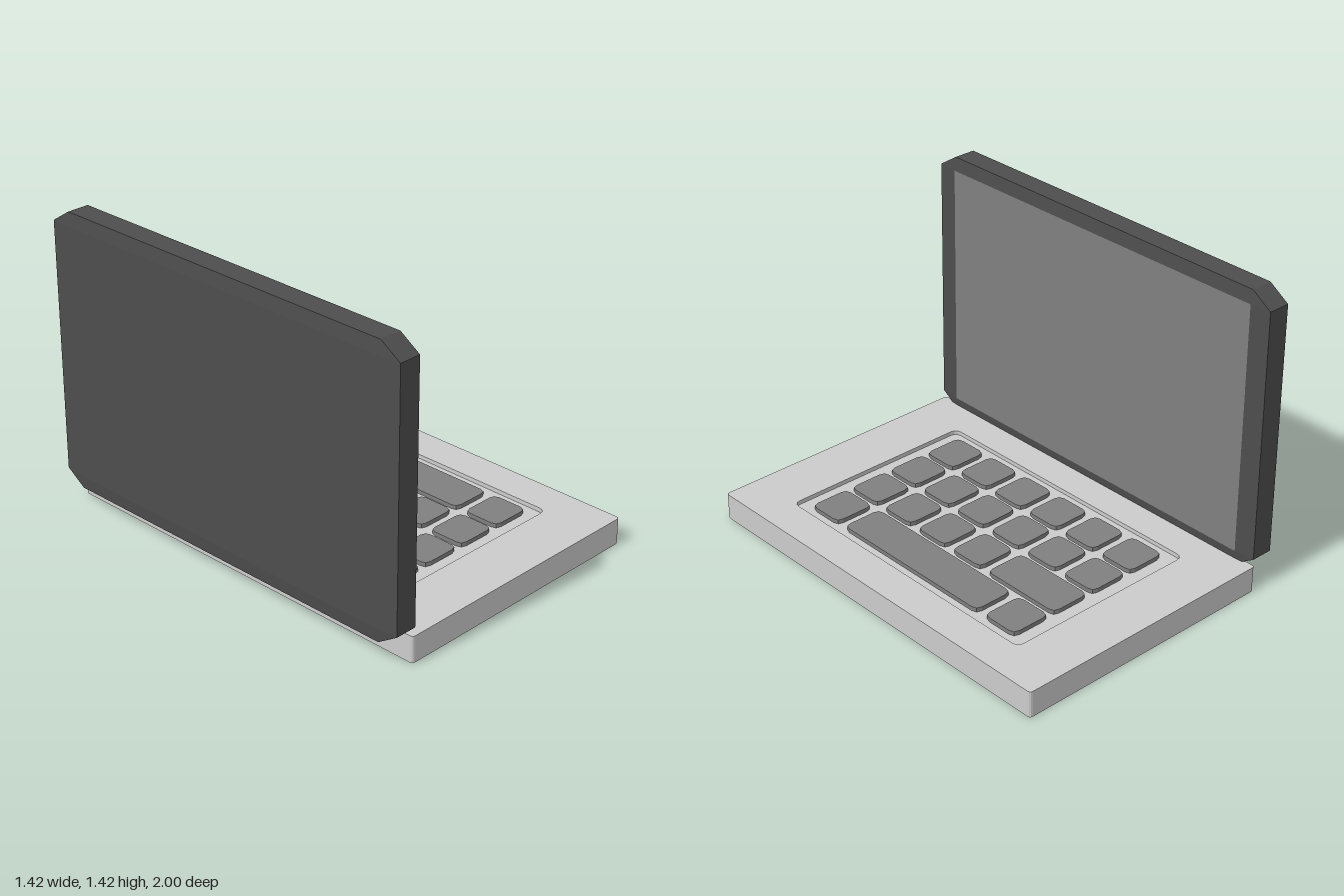
import * as THREE from 'three';
import { ConvexGeometry } from 'three/addons/geometries/ConvexGeometry.js';

const material = (color) => new THREE.MeshStandardMaterial({ color });

// Rectangle in plan (x, z) with softened corners; works as Shape or Path
function roundedRect(Type, x0, x1, z0, z1, r) {
  const [b, t] = [-z1, -z0];
  const p = new Type();
  p.moveTo(x0 + r, b);
  p.lineTo(x1 - r, b).quadraticCurveTo(x1, b, x1, b + r);
  p.lineTo(x1, t - r).quadraticCurveTo(x1, t, x1 - r, t);
  p.lineTo(x0 + r, t).quadraticCurveTo(x0, t, x0, t - r);
  p.lineTo(x0, b + r).quadraticCurveTo(x0, b, x0 + r, b);
  return p;
}

// Upright prism from a plan shape, between two heights
function prism(name, shape, y0, y1, mat, curveSegments) {
  const geo = new THREE.ExtrudeGeometry(shape, { depth: y1 - y0, bevelEnabled: false, curveSegments });
  geo.rotateX(-Math.PI / 2).translate(0, y0, 0);
  const mesh = new THREE.Mesh(geo, mat);
  mesh.name = name;
  return mesh;
}

export function createModel() {
  const model = new THREE.Group();
  model.name = 'laptop';
  const grey = material(0xcccccc);
  const midGrey = material(0x808080);
  const darkGrey = material(0x4d4d4d);

  // Base with a shallow keyboard well
  const well = [-0.435, 0.535, -0.74, 0.73, 0.035];
  const baseShape = roundedRect(THREE.Shape, -0.61, 0.71, -1, 1, 0.016);
  baseShape.holes.push(roundedRect(THREE.Path, ...well));
  model.add(prism('base', baseShape, 0, 0.125, grey, 3));
  model.add(prism('keyboardFloor', roundedRect(THREE.Shape, ...well), 0, 0.105, grey, 3));

  // Keys: [column, first row, rows spanned]
  const keyboard = new THREE.Group();
  keyboard.name = 'keyboard';
  const layout = [[2, 0, 2], [3, 0, 1], [3, 1, 4], [3, 5, 1]];
  for (let row = 0; row < 6; row++) {
    layout.push([0, row, 1], [1, row, 1]);
    if (row > 1) layout.push([2, row, 1]);
  }
  for (const [col, row, span] of layout) {
    const x = -0.387 + col * 0.2255;
    const z = -0.664 + row * 0.229;
    const shape = roundedRect(THREE.Shape, x, x + 0.196, z, z + 0.18 + (span - 1) * 0.229, 0.032);
    keyboard.add(prism('key', shape, 0.1, 0.125, midGrey, 2));
  }
  model.add(keyboard);

  // Lid: slab with cut corners, thinning slightly towards its rim
  const [lidX, lidY] = [-0.65, 0.76];
  const points = [];
  for (const sx of [-1, 1]) for (const sy of [-1, 1]) for (const sz of [-1, 1]) {
    points.push(
      new THREE.Vector3(sx * 0.06, sy * 0.595, sz * 0.9),
      new THREE.Vector3(sx * 0.053, sy * 0.66, sz * 0.9),
      new THREE.Vector3(sx * 0.053, sy * 0.595, sz)
    );
  }
  const lid = new THREE.Mesh(new ConvexGeometry(points), darkGrey);
  lid.name = 'lid';
  lid.position.set(lidX, lidY, 0);
  model.add(lid);

  // Display panel on the inner face of the lid
  const display = new THREE.Mesh(new THREE.PlaneGeometry(1.8, 1.19), midGrey);
  display.name = 'display';
  display.rotation.y = Math.PI / 2;
  display.position.set(lidX + 0.061, lidY, 0);
  model.add(display);

  return model;
}
